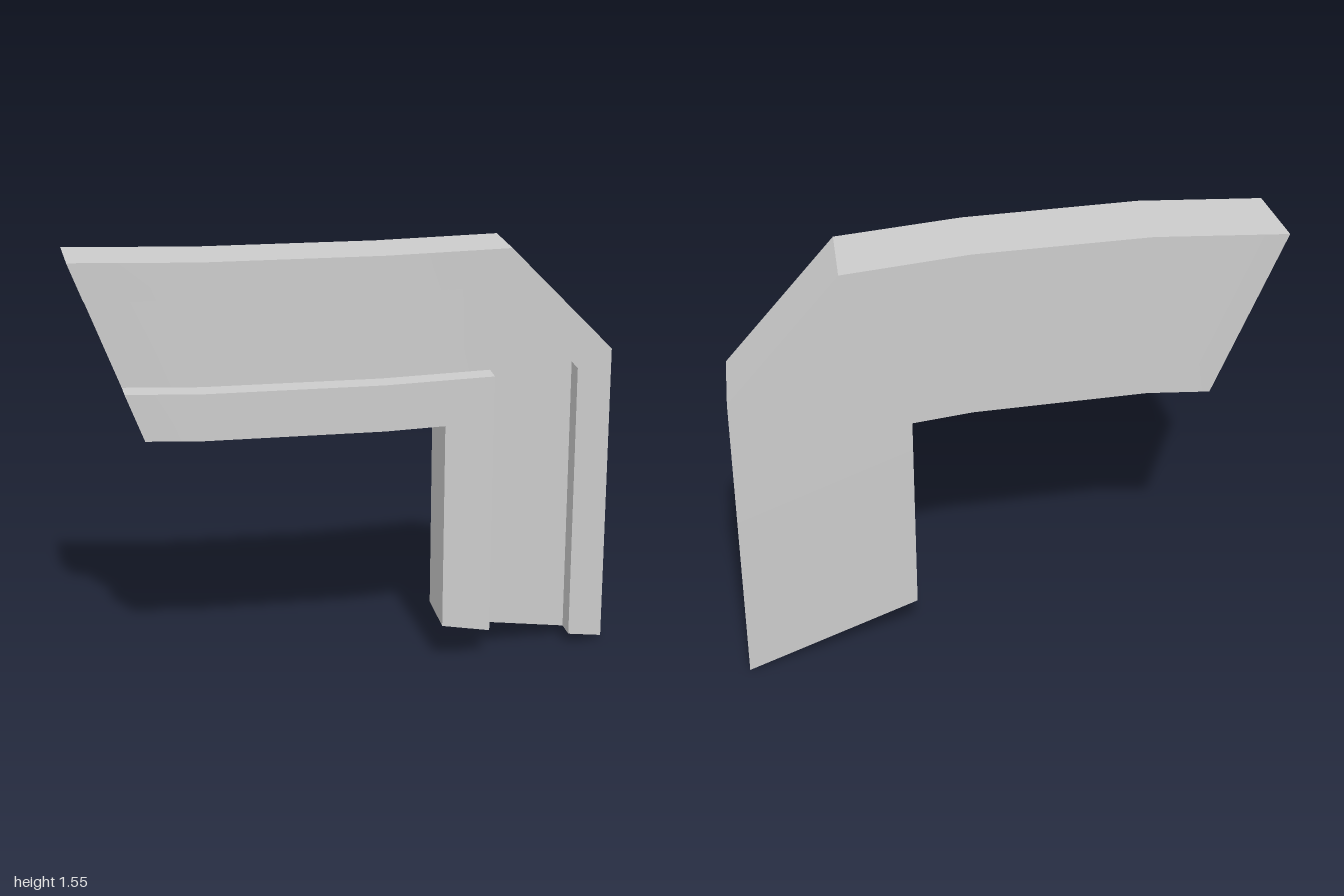
import * as THREE from 'three';
import { toCreasedNormals } from 'three/addons/utils/BufferGeometryUtils.js';

// Bend of the panel: depth of front and back as a function of x
const knotsX = [-1, -0.52, 0.13, 0.6, 1];
const frontZ = [0.243, 0.283, 0.23, 0.134, 0.015];
const backZ = [-0.06, -0.02, -0.07, -0.168, -0.287];
const grooveDepth = 0.1;

function bend(x, values) {
  let i = 0;
  while (i < knotsX.length - 2 && x > knotsX[i + 1]) i++;
  const t = (x - knotsX[i]) / (knotsX[i + 1] - knotsX[i]);
  return values[i] + t * (values[i + 1] - values[i]);
}

// Cross-section from four guide points: outer edge, outer rail, inner rail, inner edge.
// tilt(level) shifts a point at the back (0), groove floor (0.67) or front (1).
function section(guides, tilt = () => [0, 0]) {
  const order = [[0, 0], [0, 1], [1, 1], [1, 0.67], [2, 0.67], [2, 1], [3, 1], [3, 0]];
  return order.map(([g, level]) => {
    const [dx, dy] = tilt(level);
    const x = guides[g][0] + dx, y = guides[g][1] + dy;
    const z = level === 0 ? bend(x, backZ) : bend(x, frontZ) - (level < 1 ? grooveDepth : 0);
    return new THREE.Vector3(x, y, z);
  });
}

const armSection = (x) => section([[x, 1.555], [x, 1.42], [x, 1.09], [x, 0.92]]);

function sweep(sections) {
  const positions = [];
  const tri = (a, b, c) => {
    const area = new THREE.Vector3().subVectors(b, a).cross(new THREE.Vector3().subVectors(c, a));
    if (area.length() > 1e-7) for (const p of [a, b, c]) positions.push(p.x, p.y, p.z);
  };
  // Walls between neighbouring sections
  for (let s = 0; s < sections.length - 1; s++) {
    const p = sections[s], q = sections[s + 1];
    for (let i = 0; i < p.length; i++) {
      const j = (i + 1) % p.length;
      tri(p[j], p[i], q[i]);
      tri(p[j], q[i], q[j]);
    }
  }
  // End caps
  const first = sections[0], last = sections[sections.length - 1];
  for (const [a, b, c] of [[0, 1, 2], [0, 2, 3], [0, 3, 4], [0, 4, 7], [4, 5, 6], [4, 6, 7]]) {
    tri(first[a], first[b], first[c]);
    tri(last[a], last[c], last[b]);
  }
  const geometry = new THREE.BufferGeometry();
  geometry.setAttribute('position', new THREE.Float32BufferAttribute(positions, 3));
  return toCreasedNormals(geometry, 0.45);
}

export function createModel() {
  const group = new THREE.Group();
  group.name = 'curvedCornerPanel';

  const sections = [
    // slanted foot of the upright
    section([[1, 0], [0.865, 0.027], [0.54, 0.092], [0.355, 0.132]], (t) => [0, 0.017 * t]),
    // chamfered corner
    section([[1, 1.15], [0.865, 1.09], [0.54, 1.09], [0.355, 0.92]]),
    section([[0.595, 1.555], [0.545, 1.42], [0.54, 1.09], [0.355, 0.92]]),
    // bent arm
    armSection(0.13),
    armSection(-0.52),
    // slanted tip of the arm
    section([[-1, 1.555], [-0.947, 1.42], [-0.817, 1.09], [-0.75, 0.92]], (t) => [0.028 * t, 0]),
  ];

  const panel = new THREE.Mesh(sweep(sections), new THREE.MeshStandardMaterial({ color: 0xcccccc }));
  panel.name = 'groovedPanel';
  group.add(panel);
  return group;
}
